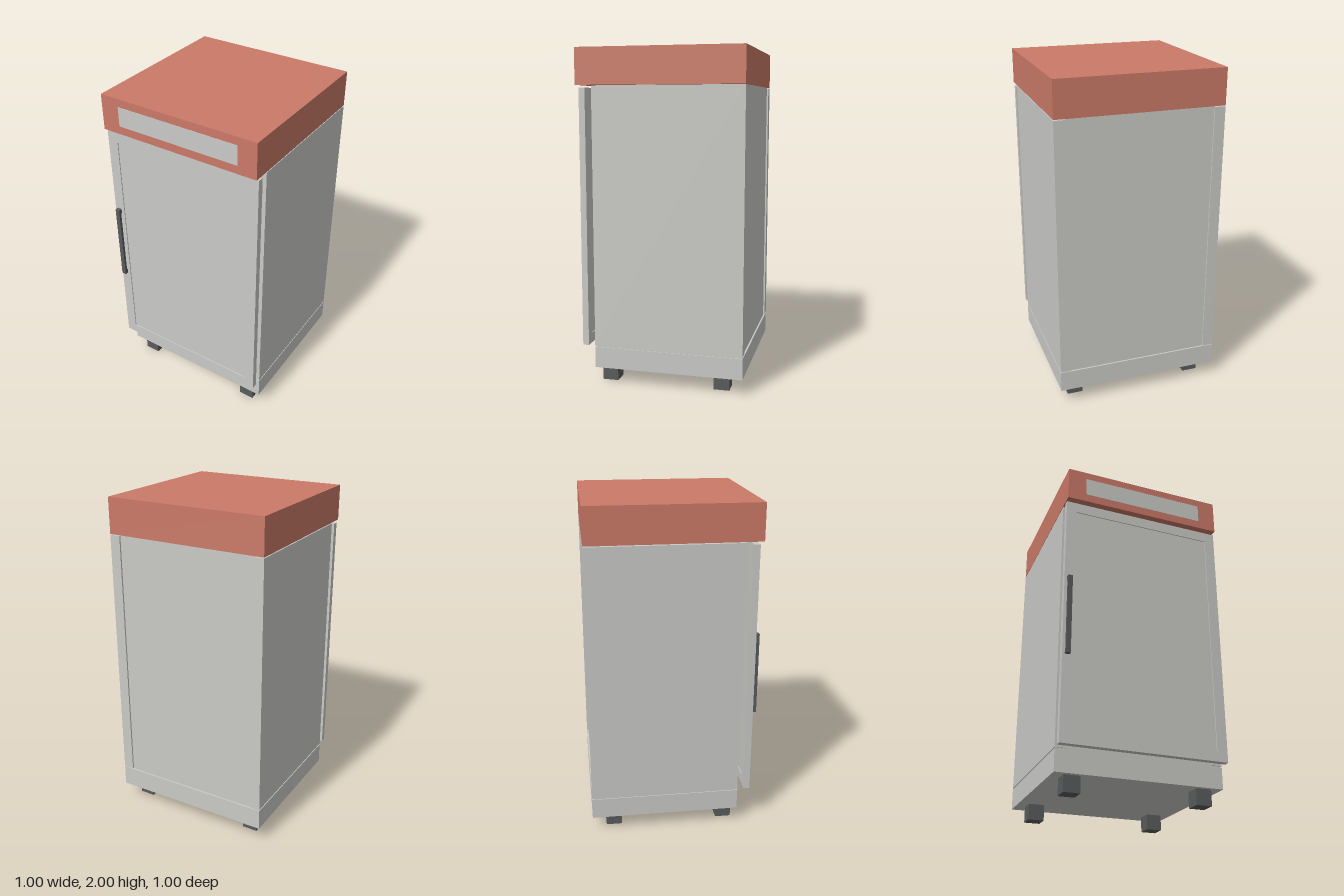
import * as THREE from 'three';

export function createModel() {
  const model = new THREE.Group();
  model.name = 'cabinet';
  const material = (name, color) => {
    const m = new THREE.MeshStandardMaterial({ color });
    m.name = name;
    return m;
  };
  const grey = material('light grey', 0xcacac7);
  const red = material('muted red', 0xcb7a68);
  const dark = material('dark grey', 0x5a5b5c);

  // Box given by its limits on each axis
  const box = (name, mat, [x0, x1], [y0, y1], [z0, z1], parent = model) => {
    const mesh = new THREE.Mesh(new THREE.BoxGeometry(x1 - x0, y1 - y0, z1 - z0), mat);
    mesh.position.set((x0 + x1) / 2, (y0 + y1) / 2, (z0 + z1) / 2);
    mesh.name = name;
    parent.add(mesh);
    return mesh;
  };

  // Feet and base
  for (const x of [-0.39, 0.39]) {
    for (const z of [0.325, -0.365]) {
      box('foot', dark, [x - 0.048, x + 0.048], [0, 0.095], [z - 0.048, z + 0.048]);
    }
  }
  box('base', grey, [-0.5, 0.5], [0.095, 0.222], [-0.5, 0.4]);

  // Body with side walls standing slightly proud at the back
  const body = new THREE.Group();
  body.name = 'body';
  model.add(body);
  box('bodyCore', grey, [-0.435, 0.435], [0.222, 1.785], [-0.49, 0.395], body);
  for (const [x0, x1] of [[-0.5, -0.435], [0.435, 0.5]]) {
    box('sideWall', grey, [x0, x1], [0.23, 1.78], [-0.5, 0.4], body);
    box('wallSeam', grey, [x0 + 0.005, x1 - 0.005], [0.222, 0.23], [-0.495, 0.395], body);
  }

  // Top housing with its display plate
  box('topHousing', red, [-0.5, 0.5], [1.785, 2], [-0.5, 0.5]);
  box('displayPlate', grey, [-0.385, 0.385], [1.835, 1.952], [0.498, 0.502]);

  // Framed door, set off from the body
  const door = new THREE.Group();
  door.name = 'door';
  model.add(door);
  const depth = [0.44, 0.477];
  box('leftStile', grey, [0.435, 0.5], [0.23, 1.77], depth, door);
  box('rightStile', grey, [-0.5, -0.435], [0.23, 1.77], depth, door);
  box('bottomRail', grey, [-0.435, 0.435], [0.23, 0.292], depth, door);
  box('topRail', grey, [-0.435, 0.435], [1.705, 1.77], depth, door);
  box('doorPanel', grey, [-0.435, 0.435], [0.292, 1.705], [0.445, 0.471], door);

  // Handle: a bar on two end mounts
  const handle = new THREE.Group();
  handle.name = 'handle';
  door.add(handle);
  box('handleBar', dark, [-0.484, -0.456], [0.745, 1.24], [0.484, 0.5], handle);
  for (const y of [0.745, 1.212]) {
    box('handleMount', dark, [-0.484, -0.456], [y, y + 0.028], [0.477, 0.484], handle);
  }
  return model;
}
